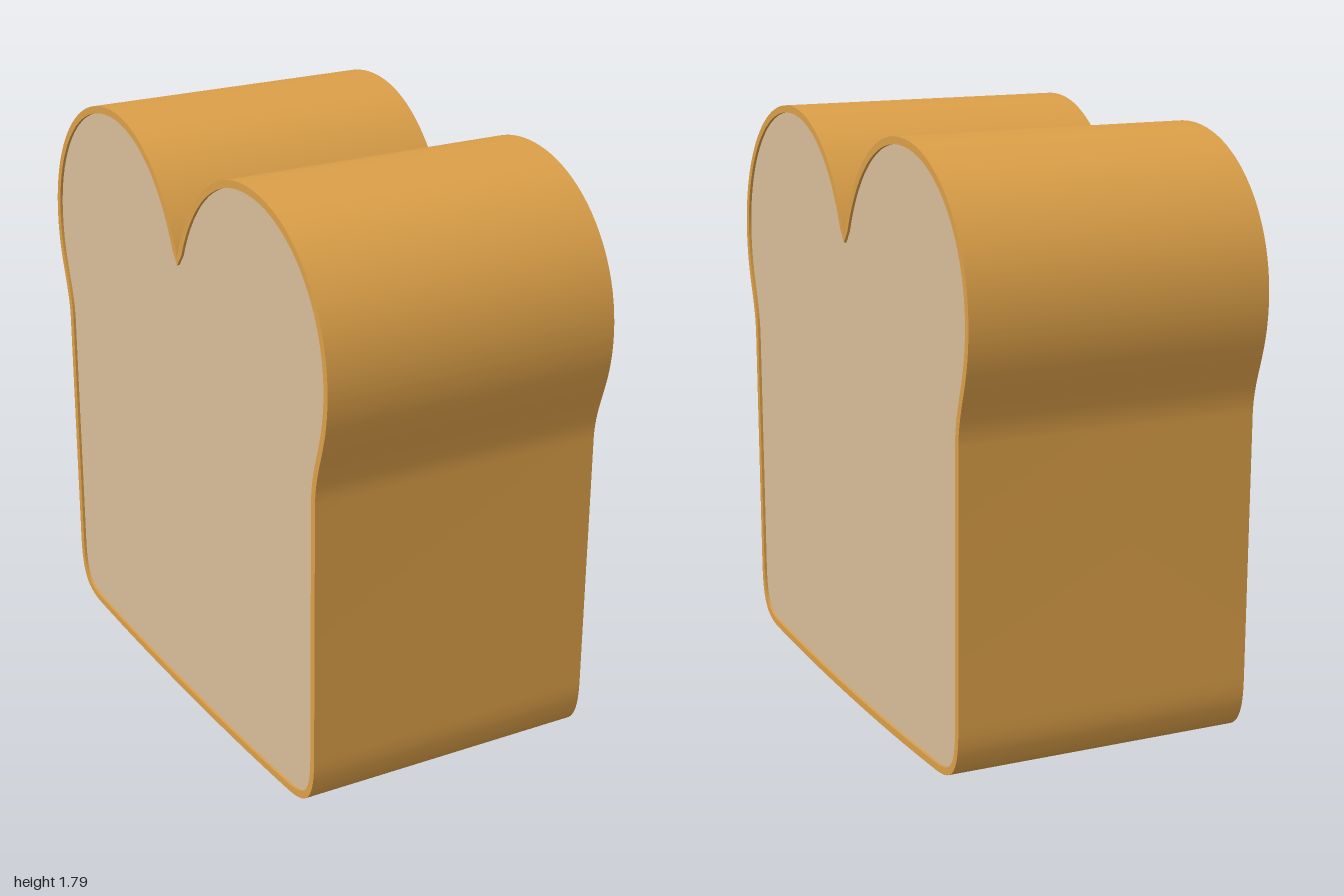
import * as THREE from 'three';
import { toCreasedNormals } from 'three/addons/utils/BufferGeometryUtils.js';

const DEPTH = 0.917, RIM = 0.022, RECESS = 0.008;

// Full slice outline, counter-clockwise: right half from base to notch, then mirrored
function sliceOutline() {
  const half = new THREE.Path();
  half.moveTo(0, 0);
  half.bezierCurveTo(0.3, 0, 0.5, 0.008, 0.66, 0.016);
  half.bezierCurveTo(0.78, 0.022, 0.815, 0.07, 0.816, 0.2);
  half.lineTo(0.821, 1.0);
  half.bezierCurveTo(0.824, 1.12, 0.888, 1.18, 0.888, 1.34); // waist
  half.bezierCurveTo(0.888, 1.59, 0.69, 1.79, 0.436, 1.79); // lobe
  half.bezierCurveTo(0.23, 1.79, 0.07, 1.65, 0, 1.452); // notch
  const right = half.getPoints(24);
  const left = right.slice(1, -1).reverse().map(p => new THREE.Vector2(-p.x, p.y));
  return [...right, ...left];
}

// Moves every outline point inwards along its averaged normal
function inset(points, d) {
  const n = points.length;
  return points.map((p, i) => {
    const t = points[(i + 1) % n].clone().sub(p).normalize()
      .add(p.clone().sub(points[(i + n - 1) % n]).normalize()).normalize();
    return new THREE.Vector2(p.x - t.y * d, p.y + t.x * d);
  });
}

export function createModel() {
  const crustMat = new THREE.MeshStandardMaterial({ color: 0xdb9f48 });
  crustMat.name = 'crust';
  const crumbMat = new THREE.MeshStandardMaterial({ color: 0xd8be99 });
  crumbMat.name = 'crumb';

  const outer = sliceOutline();
  const inner = inset(outer, RIM);
  const loaf = new THREE.Group();
  loaf.name = 'loaf';

  // Crust: a thin shell running the length of the loaf
  const shell = new THREE.Shape(outer);
  shell.holes.push(new THREE.Path(inner));
  const crustGeo = new THREE.ExtrudeGeometry(shell, { depth: DEPTH, bevelEnabled: false });
  crustGeo.translate(0, 0, -DEPTH / 2);
  const crust = new THREE.Mesh(toCreasedNormals(crustGeo, 0.6), crustMat);
  crust.name = 'crust';
  loaf.add(crust);

  // Cut faces, set slightly back inside the crust
  const faceGeo = new THREE.ShapeGeometry(new THREE.Shape(inner));
  for (const side of [1, -1]) {
    const face = new THREE.Mesh(faceGeo, crumbMat);
    face.name = side > 0 ? 'frontCrumb' : 'backCrumb';
    face.position.z = side * (DEPTH / 2 - RECESS);
    if (side < 0) face.rotation.y = Math.PI;
    loaf.add(face);
  }

  // The loaf stands turned to one side
  loaf.rotation.y = -THREE.MathUtils.degToRad(25);
  const model = new THREE.Group();
  model.name = 'breadLoaf';
  model.add(loaf);
  return model;
}
